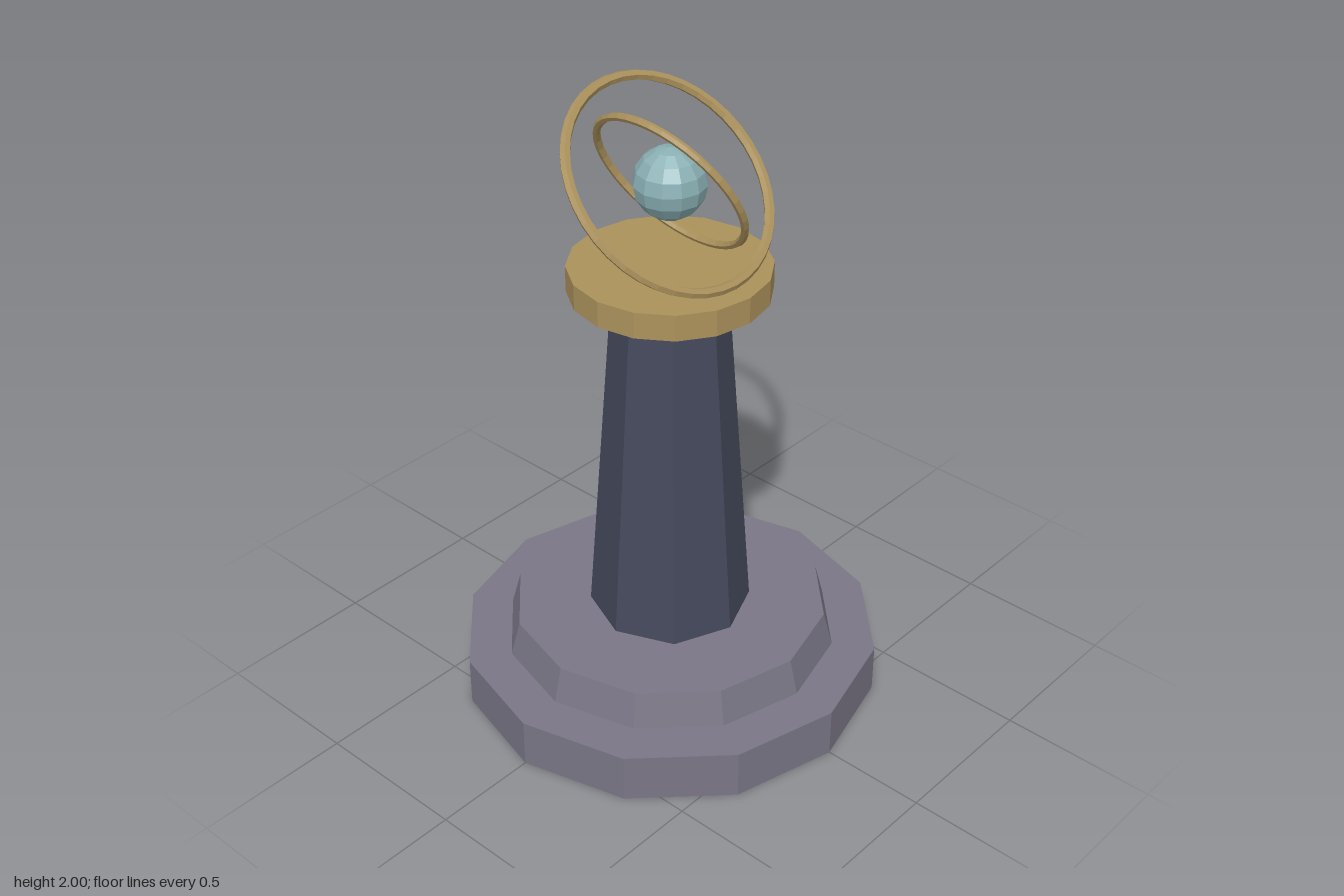
import * as THREE from 'three';

const material = (name, color) => {
  const m = new THREE.MeshStandardMaterial({ color, flatShading: true });
  m.name = name;
  return m;
};

export function createModel() {
  const group = new THREE.Group();
  group.name = 'armillaryPedestal';

  const stone = material('greyStone', 0x7a7686);
  const slate = material('darkSlate', 0x454a5c);
  const brass = material('brass', 0xac925c);
  const teal = material('paleTeal', 0x8ab0b4);

  const add = (name, geometry, mat, y) => {
    const mesh = new THREE.Mesh(geometry, mat);
    mesh.name = name;
    mesh.position.y = y;
    group.add(mesh);
    return mesh;
  };

  // Stacked faceted drums: name, top radius, bottom radius, y from, y to, sides
  const drums = [
    ['basePlinth', 0.667, 0.667, 0, 0.16, 12, stone],
    ['baseStep', 0.5, 0.53, 0.16, 0.273, 12, stone],
    ['column', 0.173, 0.255, 0.273, 1.4, 8, slate],
    ['capital', 0.305, 0.305, 1.4, 1.483, 16, brass],
  ];
  for (const [name, top, bottom, y0, y1, sides, mat] of drums) {
    add(name, new THREE.CylinderGeometry(top, bottom, y1 - y0, sides), mat, (y0 + y1) / 2);
  }

  // Floating globe and its two tilted rings
  const centre = 1.743;
  add('globe', new THREE.SphereGeometry(0.11, 12, 8), teal, centre);

  const outer = add('outerRing', new THREE.TorusGeometry(0.34, 0.016, 6, 40), brass, centre);
  outer.rotation.x = -Math.PI / 4;

  const innerGeometry = new THREE.TorusGeometry(0.26, 0.012, 6, 40).rotateY(Math.PI / 2);
  const inner = add('innerRing', innerGeometry, brass, centre);
  inner.rotation.z = 0.5;

  return group;
}
